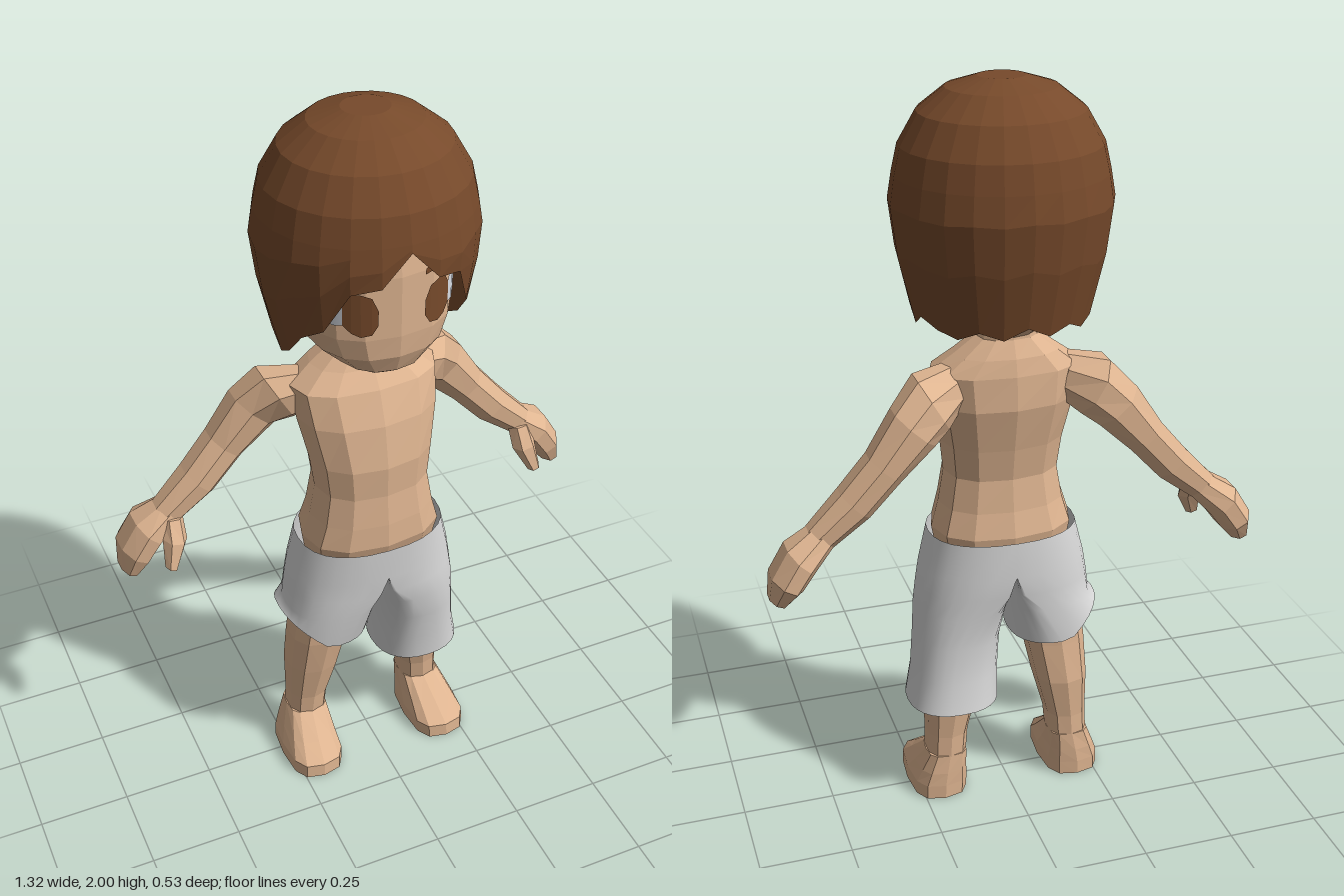
import * as THREE from 'three';

const V = (x, y, z) => new THREE.Vector3(x, y, z);
const TAU = Math.PI * 2;
const spow = (v, p) => Math.sign(v) * Math.abs(v) ** p;

// Skin over closed rings, each running from +z towards +x, listed bottom to top
function loft(rings, capStart = false, capEnd = false) {
  const n = rings[0].length, pts = rings.flat(), idx = [];
  const onMid = (...q) => q.every(i => Math.abs(pts[i].x) < 1e-4);
  for (let i = 0; i < rings.length - 1; i++) {
    for (let j = 0; j < n; j++) {
      const k = (j + 1) % n, a = i * n + j, b = i * n + k, c = b + n, d = a + n;
      if (!onMid(a, b, c, d)) idx.push(a, b, c, a, c, d);
    }
  }
  const cap = (row, flip) => {
    const centre = V(0, 0, 0);
    rings[row].forEach(p => centre.addScaledVector(p, 1 / n));
    const c = pts.push(centre) - 1;
    for (let j = 0; j < n; j++) {
      const a = row * n + j, b = row * n + (j + 1) % n;
      idx.push(c, flip ? b : a, flip ? a : b);
    }
  };
  if (capStart) cap(0, true);
  if (capEnd) cap(rings.length - 1, false);
  const g = new THREE.BufferGeometry().setFromPoints(pts);
  g.setIndex(idx);
  g.computeVertexNormals();
  return g;
}

// Level rounded ring: height, centre x, half width, front z, back z
function ring([y, cx, rx, zf, zb], n = 12, e = 2.4) {
  return Array.from({ length: n }, (_, j) => {
    const a = j / n * TAU;
    return V(cx + rx * spow(Math.sin(a), 2 / e), y, (zf + zb) / 2 + (zf - zb) / 2 * spow(Math.cos(a), 2 / e));
  });
}

// Limb along a path of [x, y, z, thickness radius, depth radius]
function limb(path, n = 8) {
  const rings = path.map(([x, y, z, ru, rz], i) => {
    const p = path[Math.max(i - 1, 0)], q = path[Math.min(i + 1, path.length - 1)];
    const d = V(q[0] - p[0], q[1] - p[1], 0).normalize();
    return Array.from({ length: n }, (_, j) => {
      const a = (j + 0.5) / n * TAU, s = Math.sin(a) * ru;
      return V(x + d.y * s, y - d.x * s, z + Math.cos(a) * rz);
    });
  });
  return loft(rings, true, true);
}

function mirrored(g) {
  const m = g.clone().scale(-1, 1, 1), ix = m.index.array;
  for (let i = 0; i < ix.length; i += 3) [ix[i], ix[i + 1]] = [ix[i + 1], ix[i]];
  m.computeVertexNormals();
  return m;
}

// Straight-line lookup in [key, value] pairs with rising keys
function lookup(table, k) {
  let i = 0;
  while (i < table.length - 2 && k > table[i + 1][0]) i++;
  const [a, b] = [table[i], table[i + 1]];
  return a[1] + (b[1] - a[1]) * (k - a[0]) / (b[0] - a[0]);
}

// Thin plate following the face curve; columns are [x, low y, high y]
function facePlate(cols) {
  const faceZ = x => 0.01 + 0.2 * (1 - (x / 0.195) ** 2.4) ** (1 / 2.4);
  const pts = cols.flatMap(([x, lo, hi]) => [V(x, lo, faceZ(x) + 0.006), V(x, hi, faceZ(x) + 0.006)]);
  const idx = [];
  for (let i = 0; i < cols.length - 1; i++) idx.push(2 * i, 2 * i + 2, 2 * i + 3, 2 * i, 2 * i + 3, 2 * i + 1);
  const g = new THREE.BufferGeometry().setFromPoints(pts);
  g.setIndex(idx);
  g.computeVertexNormals();
  return g;
}

// Cap of hair with a jagged hem
function hairGeometry() {
  const radius = [[1.38, 0.222], [1.55, 0.265], [1.7, 0.284], [1.83, 0.262], [1.92, 0.21], [1.975, 0.14], [2, 0.06]];
  const hem = [1.75, 1.67, 1.655, 1.54, 1.5, 1.43, 1.395, 1.43, 1.41, 1.395, 1.42, 1.4, 1.43];
  const n = 24, rings = [];
  const row = yAt => rings.push(Array.from({ length: n }, (_, j) => {
    const a = j / n * TAU, y = yAt(hem[Math.min(j, n - j)]), r = lookup(radius, y);
    return V(r * Math.sin(a), y, r * 0.95 * Math.cos(a));
  }));
  for (const t of [0, 0.45, 0.8]) row(h => h + (1.77 - h) * t);
  for (const y of [1.77, 1.84, 1.92, 1.975, 2]) row(() => y);
  return loft(rings, false, true);
}

// Half of the shorts: [y, inner x, front/back middle x, outer x, front z, back z]
function shortsHalf(rows, hemRise = 0) {
  const n = 28;
  const g = loft(rows.map(([y, xi, xm, xo, zf, zb], i) => Array.from({ length: n }, (_, j) => {
    const a = j / n * TAU, s = spow(Math.sin(a), 0.85), c = spow(Math.cos(a), 0.85);
    const x = j === 0 || j === n / 2 ? xm : xm + (s > 0 ? xo - xm : xm - xi) * s;
    return V(x, y + (i === 0 ? hemRise * Math.max(0, x - 0.16) : 0), (zf + zb) / 2 + (zf - zb) / 2 * c);
  })));
  return g;
}

// Level the normals on the middle seam so both halves shade as one
function smoothSeam(g) {
  const p = g.attributes.position, m = g.attributes.normal;
  for (let i = 0; i < p.count; i++) {
    if (Math.abs(p.getX(i)) > 1e-4) continue;
    const l = Math.hypot(m.getY(i), m.getZ(i)) || 1;
    m.setXYZ(i, 0, m.getY(i) / l, m.getZ(i) / l);
  }
  return g;
}

export function createModel() {
  const model = new THREE.Group();
  const mat = (name, color, extra) => Object.assign(new THREE.MeshStandardMaterial({ color, ...extra }), { name });
  const skin = mat('skin', 0xdfb591, { flatShading: true });
  const brown = mat('hair brown', 0x774a2b, { flatShading: true, side: THREE.DoubleSide });
  const white = mat('eye white', 0xdfe4ec);
  const grey = mat('shorts grey', 0xd8d8d8, { side: THREE.DoubleSide });
  const add = (name, g, m) => {
    const mesh = new THREE.Mesh(g, m);
    mesh.name = name;
    model.add(mesh);
  };
  const pair = (name, g, m) => {
    add('left' + name, g, m);
    add('right' + name, mirrored(g), m);
  };

  // Torso with neck
  add('torso', loft([
    [0.73, 0, 0.18, 0.13, -0.11], [0.81, 0, 0.193, 0.155, -0.125], [0.88, 0, 0.172, 0.152, -0.11],
    [0.97, 0, 0.156, 0.143, -0.1], [1.06, 0, 0.166, 0.146, -0.115], [1.18, 0, 0.19, 0.125, -0.14],
    [1.27, 0, 0.2, 0.09, -0.135], [1.315, 0, 0.14, 0.055, -0.125], [1.36, 0, 0.08, 0.03, -0.105],
    [1.45, 0, 0.07, 0.03, -0.1],
  ].map(r => ring(r)), true, true), skin);

  // Head
  add('head', loft([
    [1.345, 0, 0.06, 0.12, -0.08], [1.39, 0, 0.115, 0.185, -0.13], [1.44, 0, 0.17, 0.205, -0.17],
    [1.5, 0, 0.195, 0.21, -0.19], [1.66, 0, 0.195, 0.21, -0.19], [1.8, 0, 0.19, 0.19, -0.19],
  ].map(r => ring(r, 16)), true, true), skin);
  add('hair', hairGeometry(), brown);

  // Eyes and brows
  pair('Iris', facePlate([[0.06, 1.545, 1.585], [0.075, 1.52, 1.62], [0.1, 1.515, 1.63], [0.12, 1.525, 1.63], [0.137, 1.545, 1.6]]), brown);
  pair('EyeWhite', facePlate([[0.137, 1.545, 1.61], [0.155, 1.54, 1.625], [0.172, 1.56, 1.6]]), white);
  pair('Brow', facePlate([[0.06, 1.655, 1.67], [0.1, 1.66, 1.685], [0.14, 1.645, 1.67]]), brown);

  // Arms, hands and thumbs
  pair('Arm', limb([
    [0.14, 1.24, -0.05, 0.06, 0.06], [0.215, 1.215, -0.09, 0.085, 0.085], [0.27, 1.165, -0.12, 0.075, 0.072],
    [0.35, 1.07, -0.128, 0.058, 0.064], [0.43, 0.98, -0.125, 0.055, 0.062], [0.525, 0.895, -0.125, 0.043, 0.05],
  ]), skin);
  pair('Hand', limb([
    [0.51, 0.905, -0.125, 0.04, 0.05], [0.575, 0.855, -0.135, 0.052, 0.08],
    [0.615, 0.795, -0.138, 0.048, 0.08], [0.638, 0.74, -0.13, 0.027, 0.05],
  ]), skin);
  pair('Thumb', limb([
    [0.515, 0.9, -0.1, 0.03, 0.035], [0.52, 0.845, -0.065, 0.034, 0.034], [0.543, 0.775, -0.038, 0.018, 0.02],
  ], 6), skin);

  // Legs and feet
  pair('Leg', loft([
    [0.12, 0.18, 0.056, 0.022, -0.1], [0.2, 0.175, 0.058, 0.03, -0.1], [0.32, 0.16, 0.075, 0.055, -0.11],
    [0.44, 0.145, 0.085, 0.075, -0.1], [0.64, 0.12, 0.085, 0.09, -0.09],
  ].map(r => ring(r, 10)), false, true), skin);
  pair('Foot', loft([
    [0.005, 0.197, 0.08, 0.155, -0.105], [0.045, 0.196, 0.08, 0.152, -0.105],
    [0.085, 0.19, 0.07, 0.095, -0.104], [0.14, 0.18, 0.057, 0.022, -0.1],
  ].map(r => ring(r, 12, 3)), true, true), skin);

  // Shorts, one leg long and the other rolled up
  const seat = [
    [0.58, 0.002, 0.08, 0.245, 0.145, -0.13], [0.64, 0, 0.025, 0.238, 0.152, -0.138],
    [0.7, 0, 0, 0.228, 0.158, -0.142], [0.8, 0, 0, 0.203, 0.162, -0.137],
  ];
  add('shortsLongLeg', smoothSeam(shortsHalf([
    [0.305, 0.03, 0.155, 0.282, 0.1, -0.152], [0.39, 0.027, 0.145, 0.263, 0.108, -0.135],
    [0.49, 0.018, 0.125, 0.252, 0.125, -0.125], ...seat])), grey);
  const rolled = shortsHalf([[0.472, 0.015, 0.135, 0.262, 0.125, -0.13], ...seat], 0.9);
  add('shortsRolledLeg', smoothSeam(mirrored(rolled)), grey);

  return model;
}
